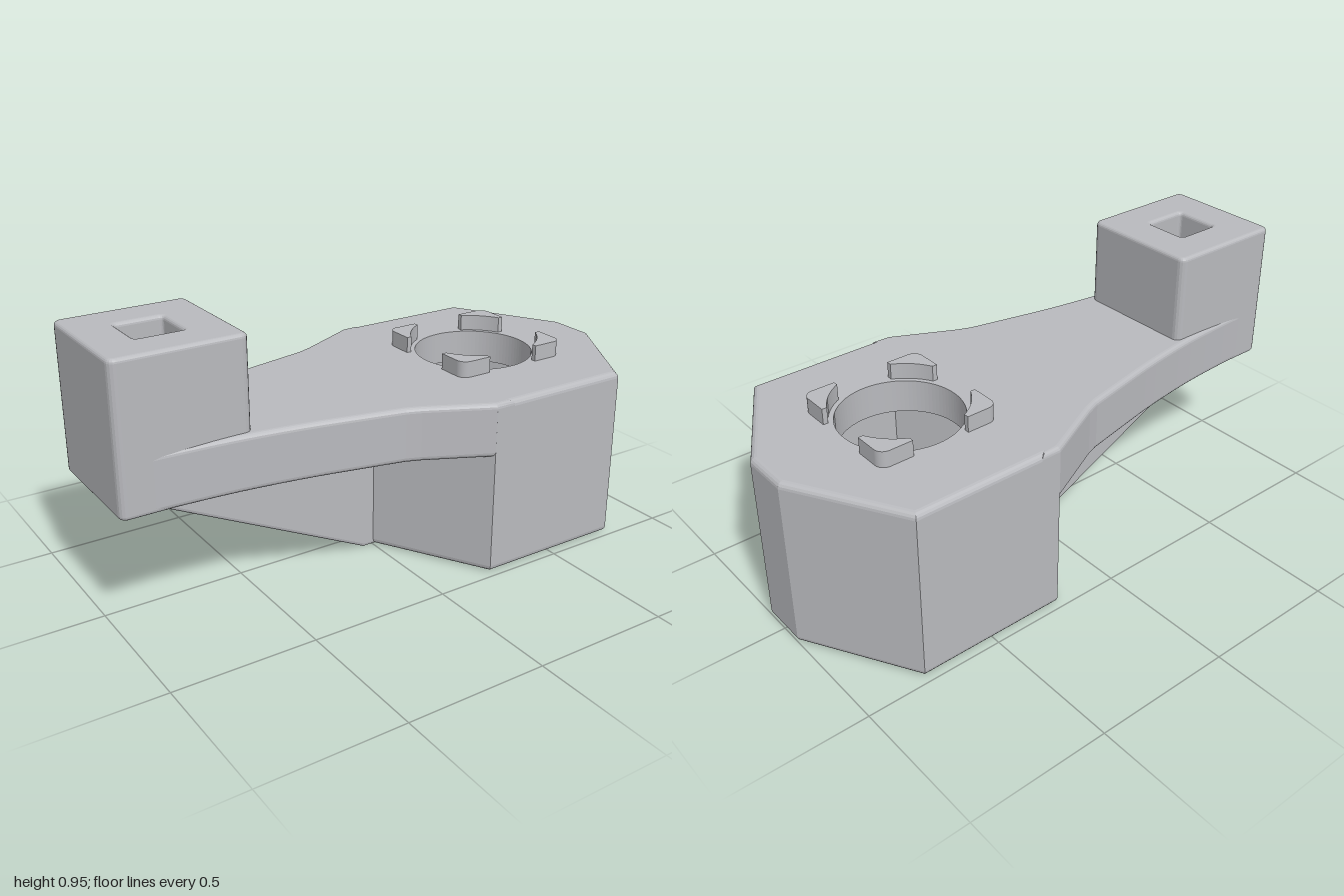
import * as THREE from 'three';

const HEAD_X = 0.5; // centre of the hexagonal head

const points = (list) => list.map(([x, y]) => new THREE.Vector2(x, y));

// Hexagon with points on the x axis; an optional limit trims the +x tip
function hexPoints(apothem, limit) {
  const r = apothem / Math.cos(Math.PI / 6);
  const list = [];
  if (limit) {
    const z = (HEAD_X + r - limit) * Math.sqrt(3);
    list.push([limit, -z], [limit, z]);
  } else list.push([HEAD_X + r, 0]);
  for (let i = 1; i < 6; i++) {
    const a = (i * Math.PI) / 3;
    list.push([HEAD_X + r * Math.cos(a), r * Math.sin(a)]);
  }
  return points(list);
}

function roundedSquare(cx, half, r) {
  const list = [];
  for (let c = 0; c < 4; c++) {
    const sx = c === 0 || c === 3 ? 1 : -1;
    const sz = c < 2 ? 1 : -1;
    for (let k = 0; k <= 4; k++) {
      const a = ((c + k / 4) * Math.PI) / 2;
      list.push([cx + sx * (half - r) + r * Math.cos(a), sz * (half - r) + r * Math.sin(a)]);
    }
  }
  return points(list);
}

function circlePath(r) {
  return new THREE.Path().absarc(HEAD_X, 0, r, 0, Math.PI * 2, true);
}

// Upright prism from y0 to y1 with softened edges of size b
function prism(shape, y0, y1, b) {
  const geo = new THREE.ExtrudeGeometry(shape, {
    depth: y1 - y0 - 2 * b,
    bevelEnabled: b > 0,
    bevelThickness: b,
    bevelSize: b,
    bevelOffset: -b,
    bevelSegments: 4,
    curveSegments: 48,
  });
  geo.rotateX(-Math.PI / 2);
  geo.translate(0, y0 + b, 0);
  return geo;
}

export function createModel() {
  const group = new THREE.Group();
  const grey = new THREE.MeshStandardMaterial({ color: 0xb9babe });
  grey.name = 'plain grey';
  const add = (name, geo) => {
    const mesh = new THREE.Mesh(geo, grey);
    mesh.name = name;
    group.add(mesh);
    return mesh;
  };

  // Hollow hexagonal socket, open below
  const socket = new THREE.Shape(hexPoints(0.475, 1));
  socket.holes.push(new THREE.Path(hexPoints(0.33).reverse()));
  add('socketWall', prism(socket, 0, 0.56, 0.022));

  // Deck closing the socket, with a round hole
  const deck = new THREE.Shape(hexPoints(0.475, 1));
  deck.holes.push(circlePath(0.25));
  add('socketDeck', prism(deck, 0.51, 0.63, 0.022));

  // Crisp collar lining the hole
  const collar = new THREE.Shape().absarc(HEAD_X, 0, 0.3, 0, Math.PI * 2, false);
  collar.holes.push(circlePath(0.215));
  add('holeCollar', prism(collar, 0.51, 0.63, 0));

  // Four corner tabs with concave inner faces around the hole
  const inner = 0.105, outer = 0.225, arcR = 0.232, round = 0.035;
  const a0 = Math.asin(inner / arcR);
  const tab = new THREE.Shape();
  tab.moveTo(outer, inner);
  tab.lineTo(outer, outer - round);
  tab.absarc(outer - round, outer - round, round, 0, Math.PI / 2, false);
  tab.lineTo(inner, outer);
  tab.absarc(0, 0, arcR, Math.PI / 2 - a0, a0, true);
  tab.closePath();
  for (let i = 0; i < 4; i++) {
    const mesh = add('cornerTab' + (i + 1), prism(tab, 0.61, 0.688, 0));
    mesh.position.x = HEAD_X;
    mesh.rotation.y = (i * Math.PI) / 2;
  }

  // Flaring arm between the block and the head
  const side = new THREE.SplineCurve(points([
    [-0.97, 0.222], [-0.65, 0.24], [-0.4, 0.273], [-0.2, 0.313], [-0.05, 0.345],
  ])).getPoints(14).map((p) => [p.x, p.y]);
  side.push([0.0, 0.364], [0.226, 0.475], [0.3, 0.475]);
  const mirrored = side.map(([x, z]) => [x, -z]);
  const outline = [...mirrored, [0.06, 0], ...side.reverse()];
  add('arm', prism(new THREE.Shape(points(outline)), 0.437, 0.63, 0.018));

  // Upright block with a square recess
  const block = new THREE.Shape(roundedSquare(-0.775, 0.226, 0.025));
  block.holes.push(new THREE.Path(roundedSquare(-0.775, 0.082, 0.012).reverse()));
  add('endBlock', prism(block, 0.437, 0.95, 0.014));

  // Triangular rib bracing the arm
  const rib = new THREE.Shape(points([[-0.97, 0.45], [-0.04, 0], [0.08, 0], [0.08, 0.48], [-0.97, 0.48]]));
  const ribGeo = new THREE.ExtrudeGeometry(rib, {
    depth: 0.14, bevelThickness: 0.013, bevelSize: 0.013, bevelOffset: -0.013, bevelSegments: 3,
  });
  ribGeo.translate(0, 0, -0.07);
  add('rib', ribGeo);

  return group;
}
